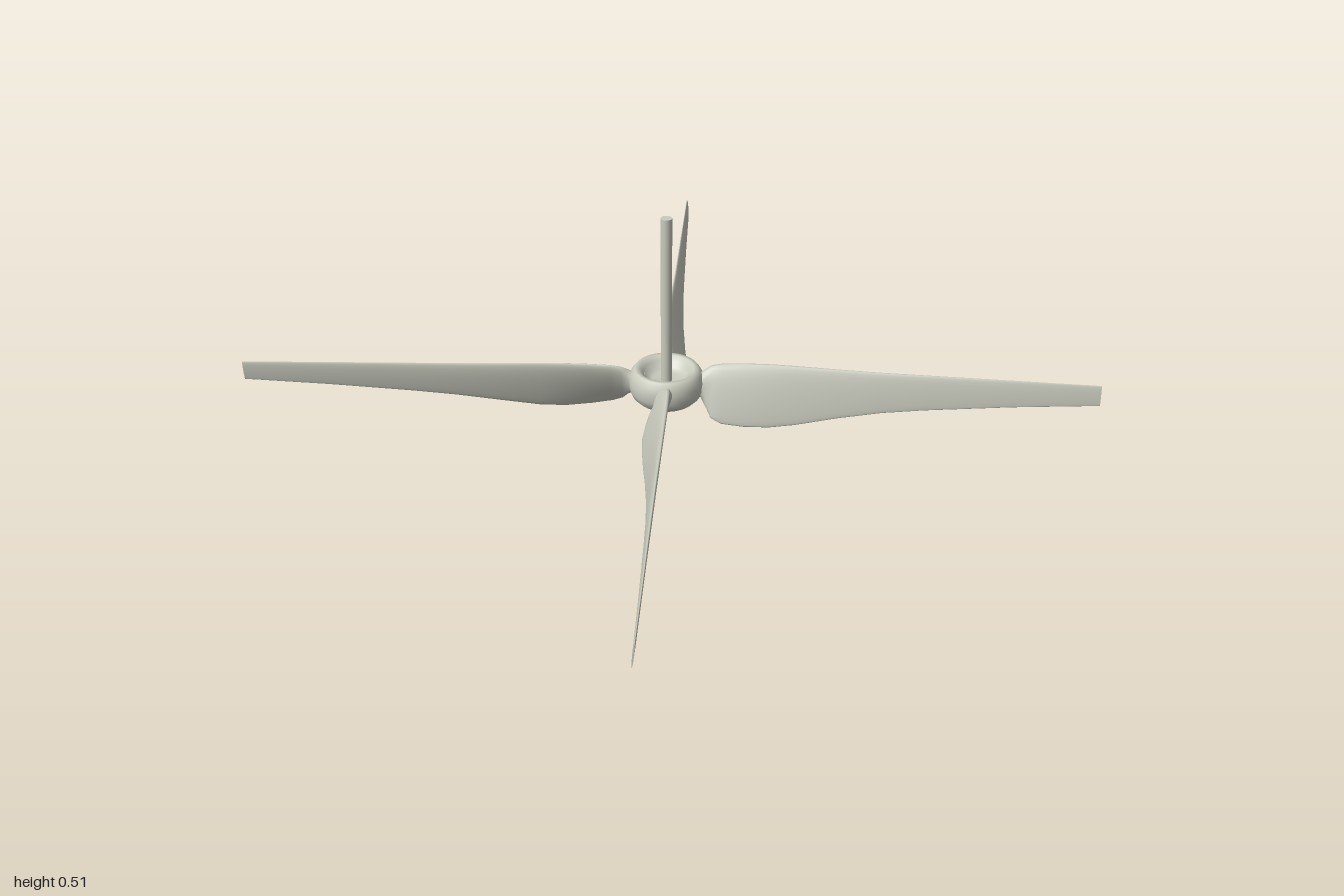
import * as THREE from 'three';

// Blade stations: distance out, bottom y, bottom z, top y, top z, half thickness
const STATIONS = [
  [0.05, 0.066, 0.008, 0.114, -0.008, 0.022],
  [0.08, 0.062, 0.012, 0.118, -0.008, 0.021],
  [0.092, 0.045, 0.026, 0.126, -0.01, 0.018],
  [0.105, 0.024, 0.042, 0.134, -0.012, 0.015],
  [0.13, 0.012, 0.047, 0.139, -0.013, 0.013],
  [0.18, 0.004, 0.044, 0.141, -0.013, 0.012],
  [0.24, 0.0, 0.037, 0.141, -0.012, 0.011],
  [0.3, 0.004, 0.029, 0.139, -0.011, 0.0095],
  [0.4, 0.02, 0.019, 0.134, -0.009, 0.008],
  [0.5, 0.034, 0.013, 0.13, -0.007, 0.007],
  [0.6, 0.043, 0.01, 0.127, -0.006, 0.006],
  [0.8, 0.056, 0.006, 0.121, -0.004, 0.004],
  [1.0, 0.065, 0.003, 0.115, -0.002, 0.0025],
];
const SIDES = 24;

// Twisted blade lofted through lens-shaped sections
function bladeGeometry() {
  const pos = [], index = [];
  const ring = ([x, y0, z0, y1, z1, h]) => {
    const dy = y1 - y0, dz = z1 - z0, len = Math.hypot(dy, dz);
    const round = x < 0.09;
    for (let j = 0; j < SIDES; j++) {
      const t = (j / SIDES) * Math.PI * 2, u = Math.cos(t) / 2;
      // fuller towards the upper leading edge
      const v = h * Math.sin(t) * (round ? 1 : 0.8 + 0.5 * u);
      pos.push(x, (y0 + y1) / 2 + dy * u - (dz / len) * v, (z0 + z1) / 2 + dz * u + (dy / len) * v);
    }
  };
  STATIONS.forEach(ring);
  for (let i = 0; i < STATIONS.length - 1; i++) {
    for (let j = 0; j < SIDES; j++) {
      const k = (j + 1) % SIDES;
      const a = i * SIDES + j, b = i * SIDES + k;
      index.push(a, b, a + SIDES, b, b + SIDES, a + SIDES);
    }
  }
  // flat tip with its own corners
  const start = pos.length / 3;
  ring(STATIONS[STATIONS.length - 1]);
  for (let j = 1; j < SIDES - 1; j++) index.push(start, start + j, start + j + 1);

  const geo = new THREE.BufferGeometry();
  geo.setAttribute('position', new THREE.Float32BufferAttribute(pos, 3));
  geo.setIndex(index);
  geo.computeVertexNormals();
  return geo;
}

export function createModel() {
  const group = new THREE.Group();
  const paint = new THREE.MeshStandardMaterial({ color: 0xc9cbbe });
  paint.name = 'pale grey paint';

  const add = (name, geometry) => {
    const mesh = new THREE.Mesh(geometry, paint);
    mesh.name = name;
    group.add(mesh);
    return mesh;
  };

  // Rounded hub with a dished top
  const profile = [
    [0, 0.062], [0.035, 0.056], [0.05, 0.05], [0.068, 0.052], [0.08, 0.064],
    [0.086, 0.08], [0.087, 0.1], [0.083, 0.118], [0.074, 0.13], [0.064, 0.13],
    [0.055, 0.12], [0.046, 0.107], [0.034, 0.1], [0, 0.098],
  ].map(([r, y]) => new THREE.Vector2(r, y));
  add('hub', new THREE.LatheGeometry(profile, 40));

  // Drop rod
  const rod = add('rod', new THREE.CylinderGeometry(0.013, 0.013, 0.42, 20));
  rod.position.y = 0.3;

  // Four blades
  const blade = bladeGeometry();
  for (let k = 0; k < 4; k++) {
    add('blade' + (k + 1), blade).rotation.y = (k * Math.PI) / 2;
  }
  return group;
}
